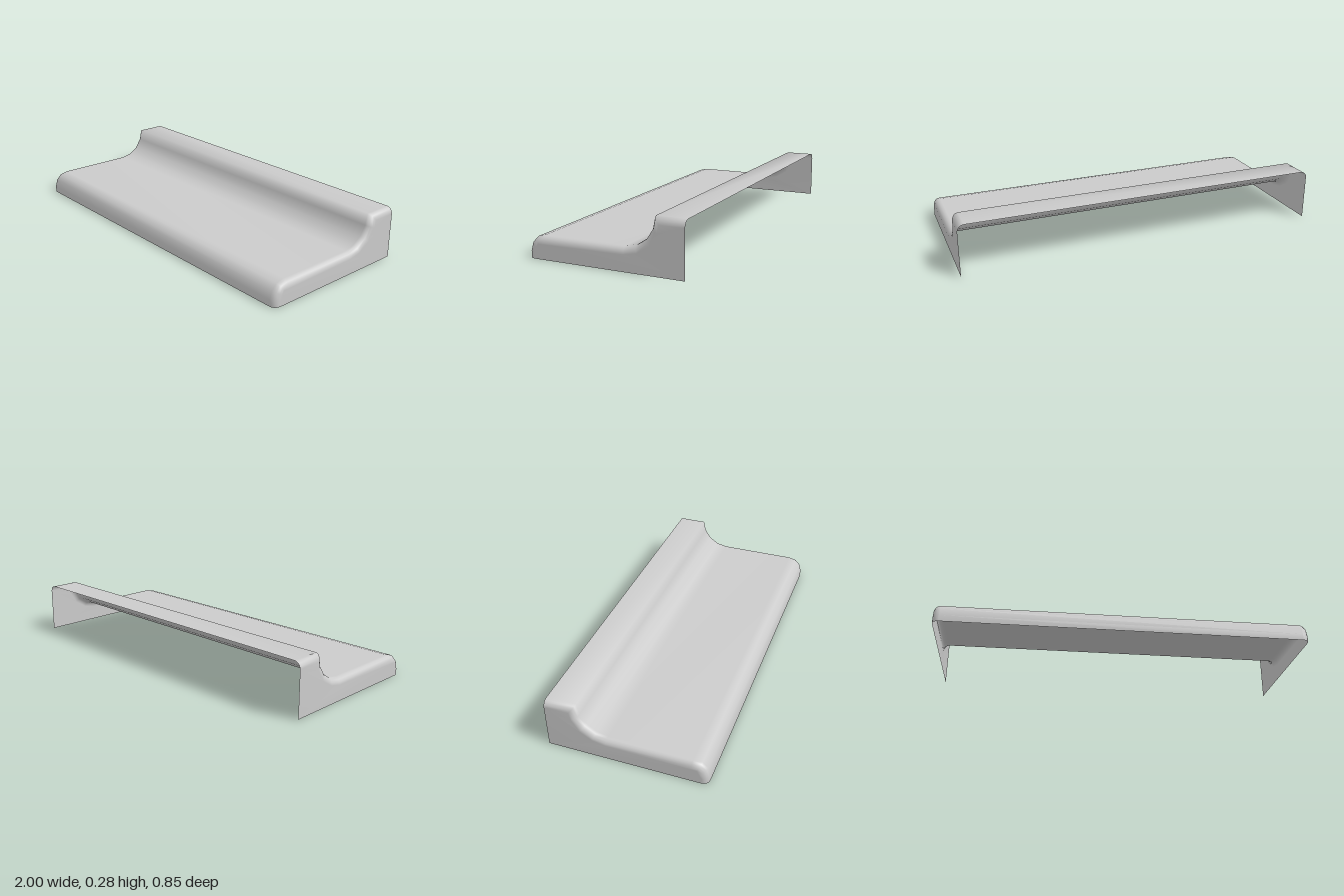
import * as THREE from 'three';

// Side profile as [z, y], from the front foot over the top to the back edge
const PROFILE = [
  [0.425, 0], [0.425, 0.035], [0.413, 0.078], [0.384, 0.108], [0.34, 0.119],
  [-0.105, 0.119], [-0.165, 0.131], [-0.218, 0.166], [-0.252, 0.218],
  [-0.265, 0.28], [-0.425, 0.28],
].map(([z, y]) => new THREE.Vector2(z, y));
const RADIUS = 0.035; // rounding where the profile meets the end walls
const STEPS = 4;

// Profile moved inwards by d, with mitred corners
function insetProfile(d) {
  const normals = PROFILE.slice(1).map((p, i) => {
    const t = p.clone().sub(PROFILE[i]).normalize();
    return new THREE.Vector2(t.y, -t.x);
  });
  return PROFILE.map((p, i) => {
    const a = normals[Math.max(i - 1, 0)];
    const b = normals[Math.min(i, normals.length - 1)];
    const miter = a.clone().add(b).divideScalar(1 + a.dot(b));
    return p.clone().addScaledVector(miter, -d);
  });
}

// Shell open at the back and underneath
function shellGeometry() {
  const rings = [];
  for (const side of [-1, 1]) {
    for (let k = 0; k <= STEPS; k++) {
      const a = ((side < 0 ? STEPS - k : k) / STEPS) * Math.PI / 2;
      rings.push({
        x: side * (1 - RADIUS + RADIUS * Math.sin(a)),
        points: insetProfile(RADIUS * (1 - Math.cos(a))),
      });
    }
  }
  const n = PROFILE.length;
  const positions = [];
  const index = [];
  for (const { x, points } of rings) {
    for (const p of points) positions.push(x, p.y, p.x);
  }

  // Long surface and rounded ends
  for (let i = 0; i < rings.length - 1; i++) {
    for (let j = 0; j < n - 1; j++) {
      const a = i * n + j;
      const b = a + n;
      index.push(a, b, a + 1, b, b + 1, a + 1);
    }
  }

  // Flat end walls, reaching down to the bottom back corner
  for (const i of [0, rings.length - 1]) {
    const { x, points } = rings[i];
    const corner = positions.length / 3;
    positions.push(x, 0, -0.425);
    const outline = [...points, new THREE.Vector2(-0.425, 0)];
    const at = (k) => (k === n ? corner : i * n + k);
    for (const [a, b, c] of THREE.ShapeUtils.triangulateShape(outline, [])) {
      if (x < 0) index.push(at(a), at(b), at(c));
      else index.push(at(a), at(c), at(b));
    }
  }

  const geometry = new THREE.BufferGeometry();
  geometry.setAttribute('position', new THREE.Float32BufferAttribute(positions, 3));
  geometry.setIndex(index);
  geometry.computeVertexNormals();
  return geometry;
}

export function createModel() {
  const model = new THREE.Group();
  model.name = 'ledgeMoulding';
  const material = new THREE.MeshStandardMaterial({ color: 0xcccccc, side: THREE.DoubleSide });
  const shell = new THREE.Mesh(shellGeometry(), material);
  shell.name = 'ledgeShell';
  model.add(shell);
  return model;
}
